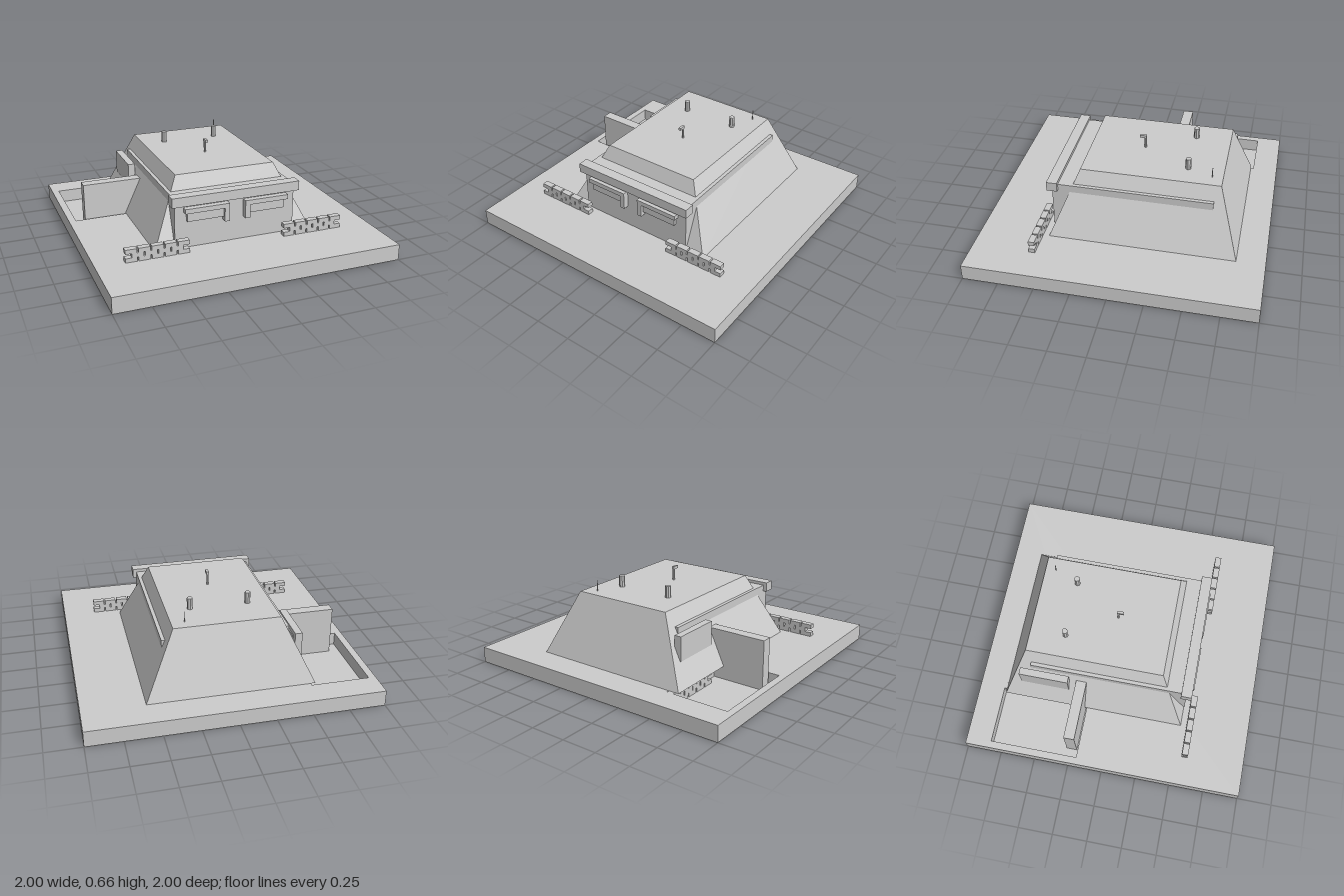
import * as THREE from 'three';

export function createModel() {
  const root = new THREE.Group();
  const mat = new THREE.MeshStandardMaterial({ color: 0xcccccc, flatShading: true });

  const add = (name, geo, parent = root) => {
    const m = new THREE.Mesh(geo, mat);
    m.name = name;
    parent.add(m);
    return m;
  };
  // box given by its limits on each axis
  const box = (name, x0, x1, y0, y1, z0, z1, parent) => {
    const m = add(name, new THREE.BoxGeometry(x1 - x0, y1 - y0, z1 - z0), parent);
    m.position.set((x0 + x1) / 2, (y0 + y1) / 2, (z0 + z1) / 2);
    return m;
  };
  const rect = (C, x0, x1, y0, y1) => new C([
    new THREE.Vector2(x0, y0), new THREE.Vector2(x1, y0),
    new THREE.Vector2(x1, y1), new THREE.Vector2(x0, y1)]);

  const GROUND = 0.113, PIT = 0.02;

  // ground slab with a sunken entrance pit (shape y becomes -z)
  const plan = rect(THREE.Shape, -1, 1, -1, 1);
  plan.holes.push(rect(THREE.Path, -0.95, -0.5, 0.19, 0.82));
  const ground = new THREE.ExtrudeGeometry(plan, { depth: GROUND - PIT, bevelEnabled: false });
  ground.rotateX(-Math.PI / 2);
  ground.translate(0, PIT, 0);
  add('groundSlab', ground);
  box('pitFloor', -1, 1, 0, PIT, -1, 1);

  // sloping earth mound: a box whose top corners are drawn inwards
  const mound = new THREE.BoxGeometry(1, 1, 1);
  const p = mound.attributes.position;
  for (let i = 0; i < p.count; i++) {
    const top = p.getY(i) > 0;
    const front = p.getZ(i) > 0;
    p.setXYZ(i, Math.sign(p.getX(i)) * (top ? 0.363 : 0.575), top ? 0.565 : GROUND,
      front ? (top ? 0.325 : 0.51) : (top ? -0.65 : -0.8));
  }
  mound.computeVertexNormals();
  add('moundBody', mound);

  // square core that breaks through the slopes, with its front lintel
  box('bunkerCore', -0.435, 0.435, GROUND, 0.465, -0.61, 0.512);
  box('frontLintel', -0.462, 0.46, 0.42, 0.487, 0.47, 0.545);

  // entrance side: hood, door panel and retaining wall
  box('entranceHood', -0.507, -0.457, 0.27, 0.44, -0.68, -0.33);
  box('entrancePanel', -0.47, -0.45, 0.28, 0.41, -0.64, -0.36);
  box('retainingWall', -0.878, -0.457, PIT, 0.37, -0.28, -0.205);

  // firing slits: an L-shaped surround and a sill block, mirrored
  for (const s of [-1, 1]) {
    const slit = new THREE.Group();
    slit.name = s < 0 ? 'rightSlit' : 'leftSlit';
    const span = (a, b) => [Math.min(s * a, s * b), Math.max(s * a, s * b)];
    box('slitCap', ...span(0.057, 0.373), 0.37, 0.403, 0.5, 0.555, slit);
    box('slitCheek', ...span(0.057, 0.092), 0.275, 0.37, 0.5, 0.555, slit);
    box('slitBlock', ...span(0.092, 0.353), 0.305, 0.37, 0.5, 0.535, slit);
    root.add(slit);
  }

  // low wall of staggered bricks, starting at its local origin along +x
  const brickWall = (name) => {
    const g = new THREE.Group();
    g.name = name;
    const pitch = 0.09, len = 0.08, h = 0.03;
    for (let row = 0; row < 3; row++) {
      const mid = row === 1;
      for (let i = 0; i < (mid ? 4 : 5); i++) {
        const x = i * pitch + (mid ? pitch / 2 : 0);
        box('brick', x, x + len, row * h, (row + 1) * h, -0.022, 0.022, g);
      }
    }
    root.add(g);
    return g;
  };
  brickWall('rightBrickWall').position.set(-0.8, GROUND, 0.575);
  brickWall('leftBrickWall').position.set(0.33, GROUND, 0.575);
  const pitWall = brickWall('pitBrickWall');
  pitWall.rotation.y = -Math.PI / 2;
  pitWall.position.set(-0.522, PIT, -0.82);

  // roof fittings
  const post = (name, r, x, z, y1, sides) => {
    const m = add(name, new THREE.CylinderGeometry(r, r, y1 - 0.555, sides));
    m.position.set(x, (y1 + 0.555) / 2, z);
  };
  for (const x of [-0.2, 0.2]) post('ventPipe', 0.02, x, -0.4, 0.645, 8);
  post('periscopeTube', 0.008, 0, -0.062, 0.65, 8);
  box('periscopeHead', -0.009, 0.009, 0.645, 0.664, -0.07, -0.022);
  post('aerial', 0.003, 0.273, -0.575, 0.64, 6);

  return root;
}
